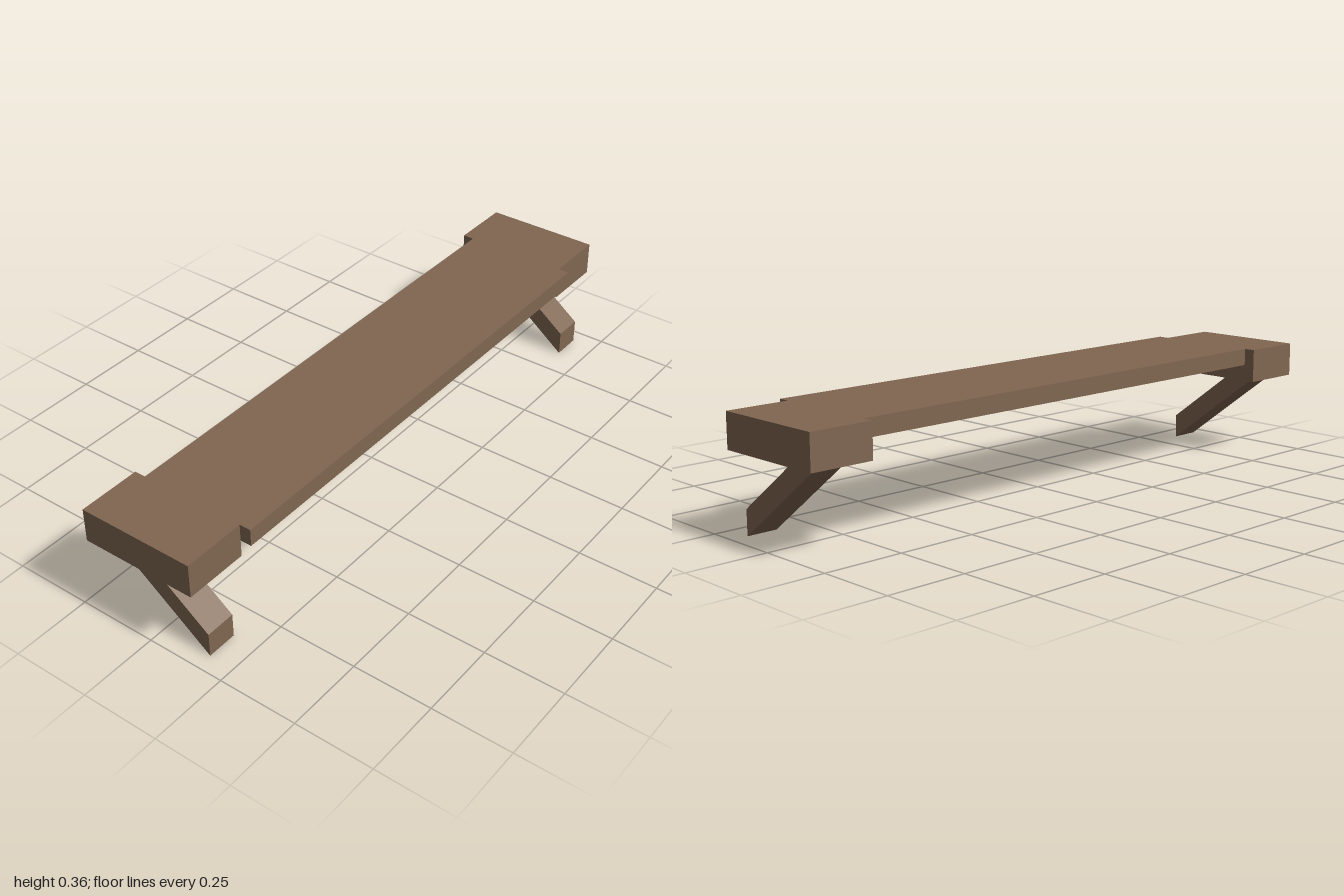
import * as THREE from 'three';

export function createModel() {
  const model = new THREE.Group();
  model.name = 'wallShelf';
  const wood = new THREE.MeshStandardMaterial({ color: 0x806651 });
  wood.name = 'brown wood';

  // Box given by its lower and upper corners
  const addBox = (name, [x0, y0, z0], [x1, y1, z1]) => {
    const mesh = new THREE.Mesh(new THREE.BoxGeometry(x1 - x0, y1 - y0, z1 - z0), wood);
    mesh.position.set((x0 + x1) / 2, (y0 + y1) / 2, (z0 + z1) / 2);
    mesh.name = name;
    model.add(mesh);
  };

  // Long thin plank between the end blocks
  addBox('plank', [-0.168, 0.304, -0.8], [0.204, 0.358, 0.8]);

  // Slanted strut, cut level at the top and upright at the foot
  const profile = new THREE.Shape([
    new THREE.Vector2(-0.162, 0.251),
    new THREE.Vector2(0.168, 0),
    new THREE.Vector2(0.168, 0.077),
    new THREE.Vector2(-0.061, 0.251),
  ]);
  const strutGeometry = new THREE.ExtrudeGeometry(profile, { depth: 0.096, bevelEnabled: false });
  strutGeometry.translate(0, 0, -0.048);

  // Thick end block and strut at each end
  for (const [side, label] of [[1, 'front'], [-1, 'back']]) {
    const z = side * 0.9;
    addBox(label + 'EndBlock', [-0.204, 0.251, z - 0.1], [0.168, 0.358, z + 0.1]);
    const strut = new THREE.Mesh(strutGeometry, wood);
    strut.position.z = z;
    strut.name = label + 'Strut';
    model.add(strut);
  }
  return model;
}
